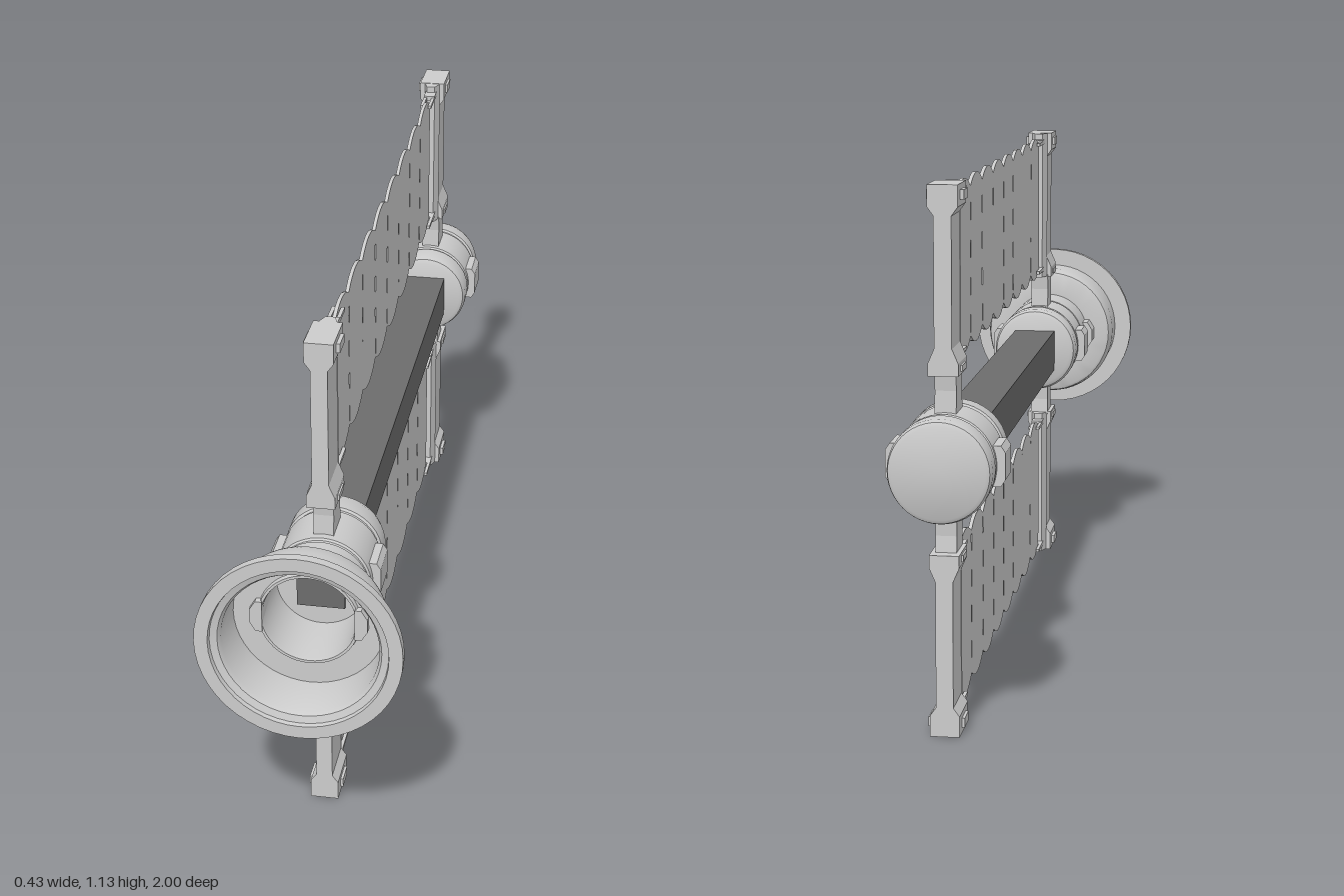
import * as THREE from 'three';
import { toCreasedNormals, mergeGeometries } from 'three/addons/utils/BufferGeometryUtils.js';

const AXIS_Y = 0.566;
const grey = new THREE.MeshStandardMaterial({ color: 0xcccccc });
const dark = new THREE.MeshStandardMaterial({ color: 0x6c6c6c });
const V = (x, y) => new THREE.Vector2(x, y);

function add(parent, name, geometry, material = grey) {
  const mesh = new THREE.Mesh(geometry, material);
  mesh.name = name;
  parent.add(mesh);
  return mesh;
}

// Box given by its minimum and maximum corners
function box(x0, x1, y0, y1, z0, z1) {
  return new THREE.BoxGeometry(x1 - x0, y1 - y0, z1 - z0)
    .translate((x0 + x1) / 2, (y0 + y1) / 2, (z0 + z1) / 2);
}

// Solid of revolution about z from [radius, z] pairs
function turned(points) {
  const g = new THREE.LatheGeometry(points.map(([r, z]) => V(r, z)), 48);
  return toCreasedNormals(g.rotateX(Math.PI / 2), 0.6);
}

// Outline in x-y extruded from z0 to z1
function slab(shape, z0, z1) {
  return new THREE.ExtrudeGeometry(shape, { depth: z1 - z0, bevelEnabled: false, curveSegments: 8 })
    .translate(0, 0, z0);
}

// Raised pads on both sides of a hub
function sidePads(parent, z0, z1, reach) {
  for (const s of [-1, 1]) {
    const shape = new THREE.Shape([
      V(s * 0.08, -0.042), V(s * 0.114, -0.042), V(s * reach, -0.028),
      V(s * reach, 0.028), V(s * 0.114, 0.042), V(s * 0.08, 0.042)]);
    add(parent, 'sidePad', slab(shape, z0, z1));
  }
}

// Scalloped blanket: u runs along z, v is height above the axis
function panelGeometry() {
  const n = 8, start = -0.764, pitch = 1.351 / n, lo = 0.214, hi = 0.535, bulge = 0.046;
  const shape = new THREE.Shape();
  shape.moveTo(start, lo);
  for (let i = 0; i < n; i++) {
    const u = start + i * pitch;
    shape.quadraticCurveTo(u + pitch / 2, lo - bulge, u + pitch, lo);
  }
  for (let i = n; i > 0; i--) {
    const u = start + i * pitch;
    if (i === n) shape.lineTo(u, hi);
    shape.quadraticCurveTo(u - pitch / 2, hi + bulge, u - pitch, hi);
  }
  shape.closePath();
  // Slits along each fold
  for (let i = 1; i < n; i++) {
    const u = start + i * pitch, w = i % 3 === 0 ? 0.002 : 0.004;
    for (let k = 0; k < 4; k++) {
      const v = 0.222 + k * 0.08;
      shape.holes.push(new THREE.Path([V(u - w, v), V(u - w, v + 0.038), V(u + w, v + 0.038), V(u + w, v)]));
    }
  }
  const g = new THREE.ExtrudeGeometry(shape, { depth: 0.008, bevelEnabled: false, curveSegments: 8 });
  return g.translate(0, 0, -0.004).rotateY(-Math.PI / 2);
}

// Upright post; inner side faces -z before placement, z measured from its inner edge
function buildPost() {
  const post = new THREE.Group();
  post.name = 'post';
  const half = [[0.031, 0.184], [0.031, 0.21], [0.018, 0.24], [0.018, 0.505], [0.031, 0.523], [0.031, 0.567]];
  const outline = [...half.map(([x, y]) => V(x, y)), ...half.slice().reverse().map(([x, y]) => V(-x, y))];
  add(post, 'postBody', slab(new THREE.Shape(outline), 0.026, 0.132));
  // Chamfered strip towards the panel
  const strip = new THREE.Shape([V(-0.01, 0), V(0.01, 0), V(0.02, -0.027), V(-0.02, -0.027)].reverse());
  add(post, 'innerStrip', slab(strip, 0, 0.381).rotateX(-Math.PI / 2).translate(0, 0.185, 0));
  // Latch blocks on the caps
  for (const s of [-1, 1]) {
    const a = s > 0 ? 0.028 : -0.037, b = s > 0 ? 0.039 : -0.028;
    add(post, 'latch', box(a, b, 0.535, 0.555, 0.052, 0.102));
  }
  add(post, 'lowerLatch', box(-0.035, 0.035, 0.19, 0.203, 0.052, 0.102));
  // Waisted neck down to the hub
  const neck = new THREE.Shape([
    V(0.024, 0.085), V(0.044, 0.085), V(0.106, 0.085), V(0.101, 0.15), V(0.106, 0.19), V(0.024, 0.19), V(0.029, 0.15)]);
  add(post, 'neck', slab(neck, -0.022, 0.022).rotateY(-Math.PI / 2));
  // Arms gripping the panel corners
  for (const [y, s] of [[0.545, -1], [0.206, 1]]) {
    const parts = [box(-0.014, 0.014, y - 0.006, y + 0.006, -0.03, 0.012)];
    for (const x of [-0.01, 0.01]) {
      parts.push(box(x - 0.004, x + 0.004, y - 0.004, y + 0.004, -0.09, -0.02).translate(0, s * 0.002, 0));
    }
    add(post, 'panelArm', mergeGeometries(parts));
  }
  return post;
}

function buildWing() {
  const wing = new THREE.Group();
  wing.name = 'wing';
  add(wing, 'panel', panelGeometry());
  const front = buildPost();
  front.position.z = 0.609;
  const rear = buildPost();
  rear.rotation.y = Math.PI;
  rear.position.z = -0.803;
  wing.add(front, rear);
  return wing;
}

export function createModel() {
  const model = new THREE.Group();
  model.name = 'satellite';
  const body = new THREE.Group();
  body.name = 'body';
  body.position.y = AXIS_Y;
  model.add(body);

  // Square spine
  add(body, 'spine', box(-0.052, 0.052, -0.052, 0.052, -0.8, 0.752), dark);

  // Front hub with its open flanged bowl
  add(body, 'frontHub', turned([
    [0, 0.535], [0.092, 0.535], [0.102, 0.541], [0.107, 0.555], [0.107, 0.598], [0.102, 0.602],
    [0.102, 0.61], [0.106, 0.614], [0.106, 0.73], [0.102, 0.734], [0.102, 0.742], [0.105, 0.745],
    [0.105, 0.86], [0.158, 0.86], [0.165, 0.864], [0.168, 0.872], [0.173, 0.9], [0.173, 0.98],
    [0.217, 0.98], [0.217, 1], [0.188, 1], [0.186, 0.99], [0.171, 0.985], [0.165, 0.975],
    [0.162, 0.875], [0.109, 0.875], [0.107, 0.885], [0.101, 0.885], [0.099, 0.875],
    [0.097, 0.745], [0, 0.745]]));

  // Rear hub with a flat cap
  add(body, 'rearHub', turned([
    [0, -1], [0.095, -1], [0.103, -0.995], [0.107, -0.982], [0.107, -0.943], [0.102, -0.939],
    [0.102, -0.93], [0.106, -0.926], [0.106, -0.815], [0.102, -0.811], [0.102, -0.803],
    [0.107, -0.799], [0.107, -0.755], [0.102, -0.741], [0.092, -0.735], [0, -0.735]]));

  sidePads(body, 0.627, 0.712, 0.123);
  sidePads(body, -0.915, -0.83, 0.123);
  // Short clamps reaching into the bowl
  for (const s of [-1, 1]) {
    const clamp = new THREE.Shape([
      V(s * 0.098, -0.036), V(s * 0.112, -0.036), V(s * 0.125, -0.015),
      V(s * 0.125, 0.015), V(s * 0.112, 0.036), V(s * 0.098, 0.036)]);
    add(body, 'bowlClamp', slab(clamp, 0.806, 0.89));
  }

  // Upper and lower wings
  const upper = buildWing();
  const lower = buildWing();
  lower.rotation.z = Math.PI;
  body.add(upper, lower);
  return model;
}
